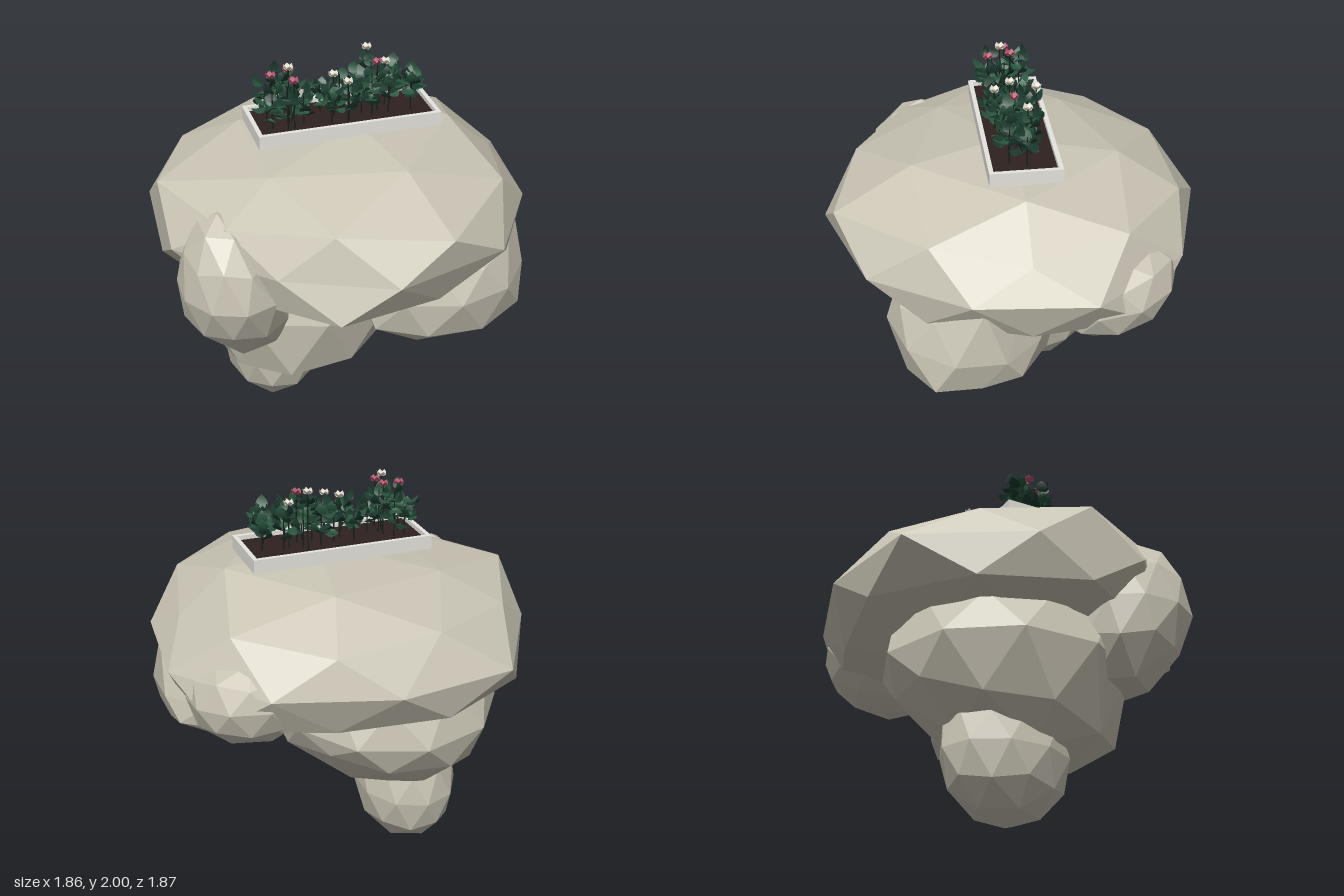
import * as THREE from 'three';
import { mergeGeometries } from 'three/addons/utils/BufferGeometryUtils.js';

const mat = (color, extra = {}) => new THREE.MeshStandardMaterial({ color, ...extra });
const rockMat = mat(0xcac5b5, { flatShading: true });

let seed = 7;
const rand = (a = 0, b = 1) => {
  seed = (seed * 16807) % 2147483647;
  return a + (b - a) * (seed / 2147483647);
};

function add(parent, name, geometry, material, x = 0, y = 0, z = 0) {
  const mesh = new THREE.Mesh(geometry, material);
  mesh.name = name;
  mesh.position.set(x, y, z);
  parent.add(mesh);
  return mesh;
}

// Faceted boulder: icosphere with a vertex at each pole, reshaped by a rule
function boulder(parent, name, center, radius, reshape) {
  const g = new THREE.IcosahedronGeometry(1, 1);
  g.rotateX(-Math.atan((1 + Math.sqrt(5)) / 2)).rotateY(Math.PI / 2);
  const pos = g.attributes.position, p = new THREE.Vector3();
  for (let i = 0; i < pos.count; i++) {
    p.fromBufferAttribute(pos, i);
    reshape(p);
    pos.setXYZ(i, p.x * radius[0], p.y * radius[1], p.z * radius[2]);
  }
  g.computeVertexNormals();
  return add(parent, name, g, rockMat, ...center);
}

// Cupped pointed leaf (or petal) growing along +y from the origin
function leafShape(length, width) {
  const s = new THREE.Shape();
  s.moveTo(0, 0);
  s.quadraticCurveTo(width * 0.95, length * 0.4, 0, length);
  s.quadraticCurveTo(-width * 0.95, length * 0.4, 0, 0);
  const g = new THREE.ShapeGeometry(s, 4), pos = g.attributes.position;
  for (let i = 0; i < pos.count; i++) {
    pos.setZ(i, Math.abs(pos.getX(i)) * 0.4 - pos.getY(i) ** 2 * 3);
  }
  g.computeVertexNormals();
  return g;
}

function createPlanter() {
  const planter = new THREE.Group();
  planter.name = 'planter';
  const L = 0.92, W = 0.35, H = 0.07, T = 0.022;
  const stone = mat(0xe6e4de);
  for (const s of [-1, 1]) {
    add(planter, 'planterLongWall', new THREE.BoxGeometry(L, H, T), stone, 0, H / 2, s * (W - T) / 2);
    add(planter, 'planterEndWall', new THREE.BoxGeometry(T, H, W - 2 * T), stone, s * (L - T) / 2, H / 2, 0);
  }
  add(planter, 'planterFloor', new THREE.BoxGeometry(L - 2 * T, 0.015, W - 2 * T), stone, 0, 0.0075, 0);
  add(planter, 'soil', new THREE.BoxGeometry(L - 2 * T, 0.035, W - 2 * T), mat(0x2e221f), 0, 0.03, 0);
  planter.position.set(0.005, 1.64, -0.015);
  return planter;
}

function createPlants() {
  const plants = new THREE.Group();
  plants.name = 'plants';
  const stems = [], leaves = [[], []], petals = { pink: [], white: [] }, hearts = [];
  const base = 1.68;

  const stem = (x, z, top) => {
    const h = top - base;
    stems.push(new THREE.CylinderGeometry(0.003, 0.004, h, 5).translate(x, base + h / 2, z));
  };

  // Leafy stems: x, z, top height
  const shrubs = [
    [-0.36, -0.07, 1.87], [-0.36, 0.05, 1.88], [-0.3, -0.08, 1.92], [-0.29, 0.07, 1.91], [-0.25, 0, 1.91], [-0.2, 0.03, 1.83],
    [-0.09, -0.07, 1.83], [-0.07, 0.07, 1.85], [0, -0.03, 1.89], [0.02, 0.07, 1.84], [0.08, -0.07, 1.86], [0.1, 0.01, 1.88],
    [0.14, 0.05, 1.91], [0.17, -0.06, 1.92], [0.23, 0.04, 1.91], [0.27, -0.06, 1.88], [0.34, 0.05, 1.87], [0.37, -0.03, 1.84],
  ];
  for (const [x, z, top] of shrubs) {
    stem(x, z, top);
    for (let i = 0; i < 17; i++) {
      const g = leafShape(rand(0.05, 0.075), rand(0.055, 0.07));
      g.rotateX(rand(0.3, 1.9)).translate(0, 0, rand(0, 0.03));
      g.rotateY(i * 2.4 + rand(-0.4, 0.4));
      g.translate(x, rand(1.75, top), z);
      leaves[i % 2].push(g);
    }
  }

  // Flowers: x, z, height, colour
  const flowers = [
    [-0.35, -0.01, 1.93, 'pink'], [-0.26, -0.03, 1.94, 'pink'], [-0.26, 0.08, 1.93, 'pink'], [0.18, 0.01, 1.94, 'pink'],
    [-0.27, 0.02, 1.975, 'white'], [-0.04, 0, 1.9, 'white'], [0.01, 0.08, 1.89, 'white'],
    [0.16, -0.1, 1.975, 'white'], [0.24, -0.05, 1.91, 'white'],
  ];
  for (const [x, z, y, colour] of flowers) {
    stem(x, z, y);
    for (let i = 0; i < 6; i++) {
      petals[colour].push(leafShape(0.036, 0.034).rotateX(0.85).rotateY(i * Math.PI / 3).translate(x, y, z));
    }
    hearts.push(new THREE.SphereGeometry(0.006, 6, 4).translate(x, y + 0.006, z));
  }

  const thin = { side: THREE.DoubleSide };
  add(plants, 'stems', mergeGeometries(stems), mat(0x16211a));
  add(plants, 'darkLeaves', mergeGeometries(leaves[0]), mat(0x1b3a2e, thin));
  add(plants, 'lightLeaves', mergeGeometries(leaves[1]), mat(0x2a553e, thin));
  add(plants, 'pinkPetals', mergeGeometries(petals.pink), mat(0xb0506a, thin));
  add(plants, 'whitePetals', mergeGeometries(petals.white), mat(0xe2dccf, thin));
  add(plants, 'flowerHearts', mergeGeometries(hearts), mat(0xc9a45a));
  return plants;
}

export function createModel() {
  const model = new THREE.Group();
  model.name = 'floatingRockGarden';

  const rocks = new THREE.Group();
  rocks.name = 'rocks';
  model.add(rocks);

  // Broad top slab: blunt on its -x end, steep front and back, sloping shoulder
  boulder(rocks, 'topBoulder', [0, 1.25, 0], [0.98, 0.41, 0.935], (p) => {
    const { x, y, z } = p;
    const rim = Math.abs(y) < 0.1;
    if (x < -0.8) p.x = -0.95;
    if (x > 0.87 && y > 0.3) p.set(0.81, 0.36, 0);
    if (x > 0.9 && z > 0.2) p.x = 0.89;
    if (z > 0.83 && !rim) p.z = 0.95;
    if (z < -0.83 && y < -0.3) p.z = -0.92;
    if (rim && x < -0.5 && z < -0.7) p.set(-0.61, 0, -0.9);
    if (rim && x < -0.5 && z > 0.7) p.set(-0.53, 0, 0.75);
    if (y < -0.3 && x < -0.6 && z < -0.4) p.set(-0.8, -0.54, -0.58);
    if (y < -0.3 && x > 0.7 && z < -0.4) p.set(0.8, -0.5, -0.6);
    if (y > 0.8) {
      p.x *= 1.08;
      p.z *= 1.08;
      p.y *= x < -0.4 ? 0.92 : 1.03;
    }
    if (y > 0.99) p.set(0.06, 1, 0.05);
  });
  // Central rock narrowing towards the tip, lowest at its front -x side
  boulder(rocks, 'middleBoulder', [-0.23, 0.82, -0.1], [0.6, 0.47, 0.63], (p) => {
    if (p.y < -0.4) {
      if (p.x < -0.6) p.x *= 0.92;
      p.y += 0.2 * (p.x - p.z) - 0.03;
    }
    if (p.x > 0.4 && p.z < -0.3) p.x *= 0.92;
  });
  // Upright rock at the front corner, wider below and leaning outwards at the top
  boulder(rocks, 'cornerBoulder', [-0.665, 1.08, 0.39], [0.265, 0.39, 0.31], (p) => {
    p.x = p.x * (1 - 0.25 * p.y) - 0.22 * p.y;
    if (p.y < -0.1) p.z += 0.25 * p.y;
    if (p.y < -0.8) {
      p.y = -0.95;
      p.x += 0.08;
    }
  });
  // Blocky lower rock under the +x side, with a high outer corner
  boulder(rocks, 'sideBoulder', [0.42, 0.9, 0.24], [0.46, 0.34, 0.43], (p) => {
    if (p.x > 0.8 && p.y > 0.3) p.set(0.92, 0.86, -0.03);
    else if (p.y < -0.8) {
      p.x = p.x * 1.05 - 0.17;
      p.y = p.y * 1.04 - 0.1 * p.z;
    } else if (p.y < -0.1) {
      p.x = THREE.MathUtils.clamp(p.x * 1.2, -0.86, 0.84);
      p.y -= 0.15 * p.z;
    }
    if (p.x > 0.4 && p.z < -0.3) p.z *= 0.85;
  });
  // Small rock at the back corner
  boulder(rocks, 'backBoulder', [0.565, 1.13, -0.405], [0.31, 0.25, 0.325], (p) => {
    p.y -= p.z * 0.2;
  });
  // Bottom tip, fuller above than below
  boulder(rocks, 'bottomBoulder', [-0.35, 0.34, -0.16], [0.262, 0.335, 0.33], (p) => {
    if (p.y > 0.1) {
      p.x *= 1.04;
      p.z *= 1.04;
    }
    if (p.y < -0.99) p.y = -1.015;
  });

  model.add(createPlanter(), createPlants());
  return model;
}
